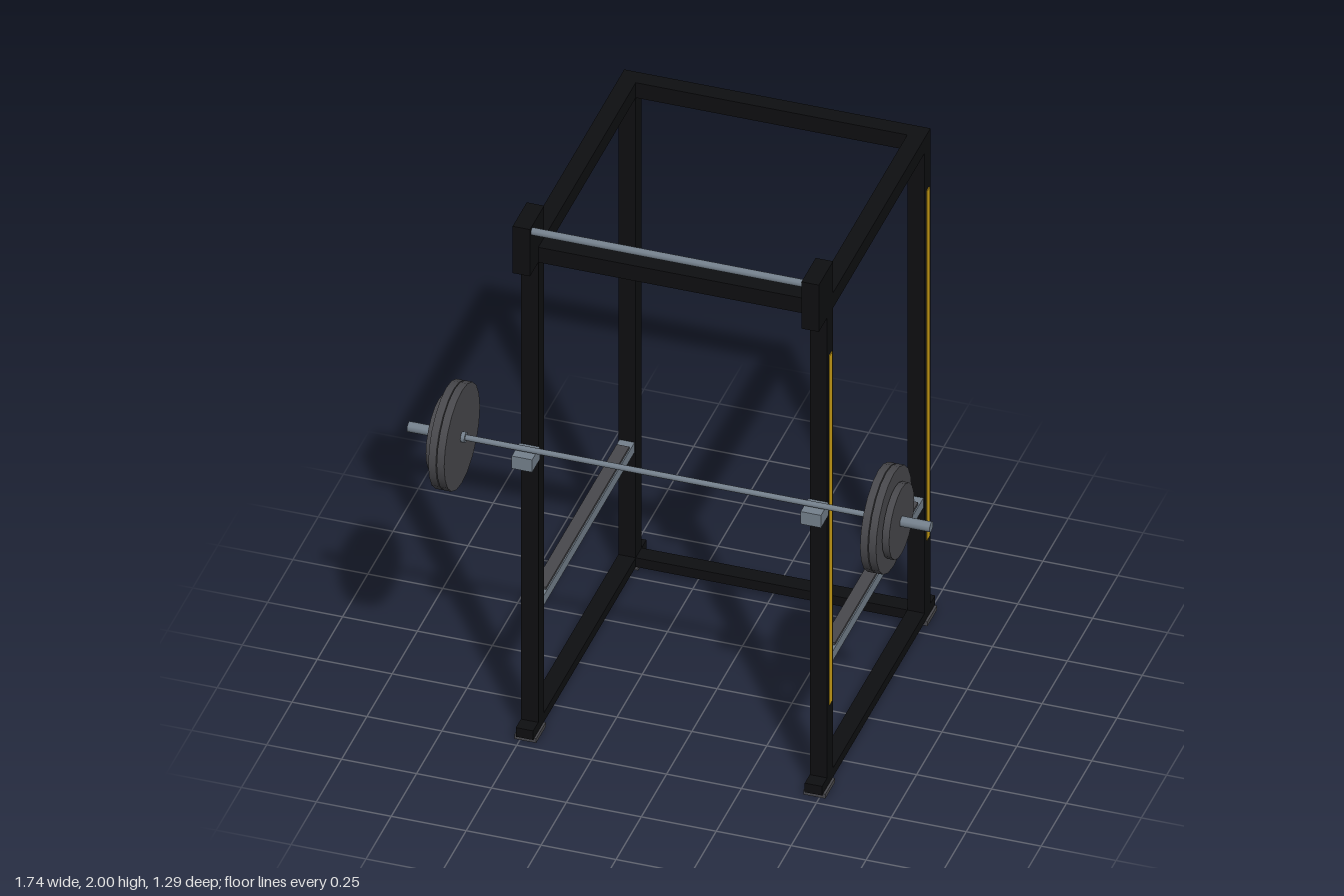
import * as THREE from 'three';

export function createModel() {
  const model = new THREE.Group();
  model.name = 'powerRack';

  const mat = (name, color, flatShading = false) => {
    const m = new THREE.MeshStandardMaterial({ color });
    m.name = name;
    m.flatShading = flatShading;
    return m;
  };
  const frame = mat('blackFrame', 0x0e0f11);
  const steel = mat('steel', 0x74808c);
  const rubber = mat('darkRubber', 0x48484c);
  const yellow = mat('yellowMarking', 0xd2a516);

  // Box given by its limits on each axis
  const box = (name, material, [x0, x1], [y0, y1], [z0, z1]) => {
    const mesh = new THREE.Mesh(new THREE.BoxGeometry(x1 - x0, y1 - y0, z1 - z0), material);
    mesh.position.set((x0 + x1) / 2, (y0 + y1) / 2, (z0 + z1) / 2);
    mesh.name = name;
    model.add(mesh);
    return mesh;
  };
  // Cylinder lying along x
  const rod = (name, material, radius, x0, x1, y, z, sides) => {
    const mesh = new THREE.Mesh(new THREE.CylinderGeometry(radius, radius, x1 - x0, sides), material);
    mesh.rotation.z = Math.PI / 2;
    mesh.position.set((x0 + x1) / 2, y, z);
    mesh.name = name;
    model.add(mesh);
    return mesh;
  };
  // Limits mirrored to either side
  const sided = (s, a, b) => (s > 0 ? [a, b] : [-b, -a]);

  const inner = 0.453, outer = 0.511;
  const frontZ = 0.397, backZ = -0.567, half = 0.029;
  const top = 1.878, beamBottom = 1.82;

  for (const s of [1, -1]) {
    const side = s > 0 ? 'left' : 'right';
    const x = sided(s, inner, outer);

    // Uprights and rubber feet
    for (const [end, z, footZ] of [['Front', frontZ, 0.42], ['Back', backZ, -0.59]]) {
      box(side + end + 'Upright', frame, x, [0.016, top], [z - half, z + half]);
      box(side + end + 'Foot', rubber, sided(s, 0.446, 0.519), [0, 0.016], [footZ - 0.048, footZ + 0.048]);
    }

    // Side rails and the bracket of the pull-up bar
    box(side + 'BaseRail', frame, x, [0.015, 0.05], [-0.643, 0.476]);
    box(side + 'TopRail', frame, x, [beamBottom, top], [backZ + half, frontZ - half]);
    box(side + 'PullUpBracket', frame, x, [beamBottom, 2], [frontZ - half, 0.508]);

    // Safety beam with a dark liner on top
    box(side + 'SafetyBeam', steel, sided(s, 0.457, 0.507), [0.455, 0.493], [backZ + half, frontZ - half]);
    box(side + 'SafetyLiner', rubber, sided(s, 0.461, 0.503), [0.493, 0.502], [-0.498, 0.325]);

    // Cup that holds the bar
    box(side + 'BarCup', steel, sided(s, 0.448, 0.516), [1.063, 1.111], [frontZ + half, 0.502]);
  }

  // Cross beams
  box('frontTopBeam', frame, [-inner, inner], [beamBottom, top], [frontZ - half, frontZ + half]);
  box('backTopBeam', frame, [-inner, inner], [beamBottom, top], [backZ - half, backZ + half]);
  box('backBaseBeam', frame, [-inner, inner], [0.015, 0.05], [backZ - half, backZ + half]);

  // Yellow strips on the outer face of the left uprights
  for (const [end, z] of [['Front', frontZ], ['Back', backZ]]) {
    box('left' + end + 'Strip', yellow, [outer, outer + 0.003], [0.32, 1.664], [z - 0.013, z + 0.013]);
  }

  // Pull-up bar
  rod('pullUpBar', steel, 0.013, -inner, inner, 1.98, 0.487, 10);

  // Barbell with sleeves and plates
  const barY = 1.122, barZ = 0.466;
  rod('barbellShaft', steel, 0.01, -0.69, 0.69, barY, barZ, 10);
  for (const s of [1, -1]) {
    const side = s > 0 ? 'left' : 'right';
    rod(side + 'Sleeve', steel, 0.018, ...sided(s, 0.681, 0.872), barY, barZ, 10);
    const plates = [
      ['InnerPlate', 0.177, 0.694, 0.719],
      ['MiddlePlate', 0.177, 0.722, 0.747],
      ['OuterPlate', 0.125, 0.75, 0.773],
    ];
    for (const [name, r, a, b] of plates) {
      rod(side + name, rubber, r, ...sided(s, a, b), barY, barZ, 20);
    }
  }

  return model;
}
